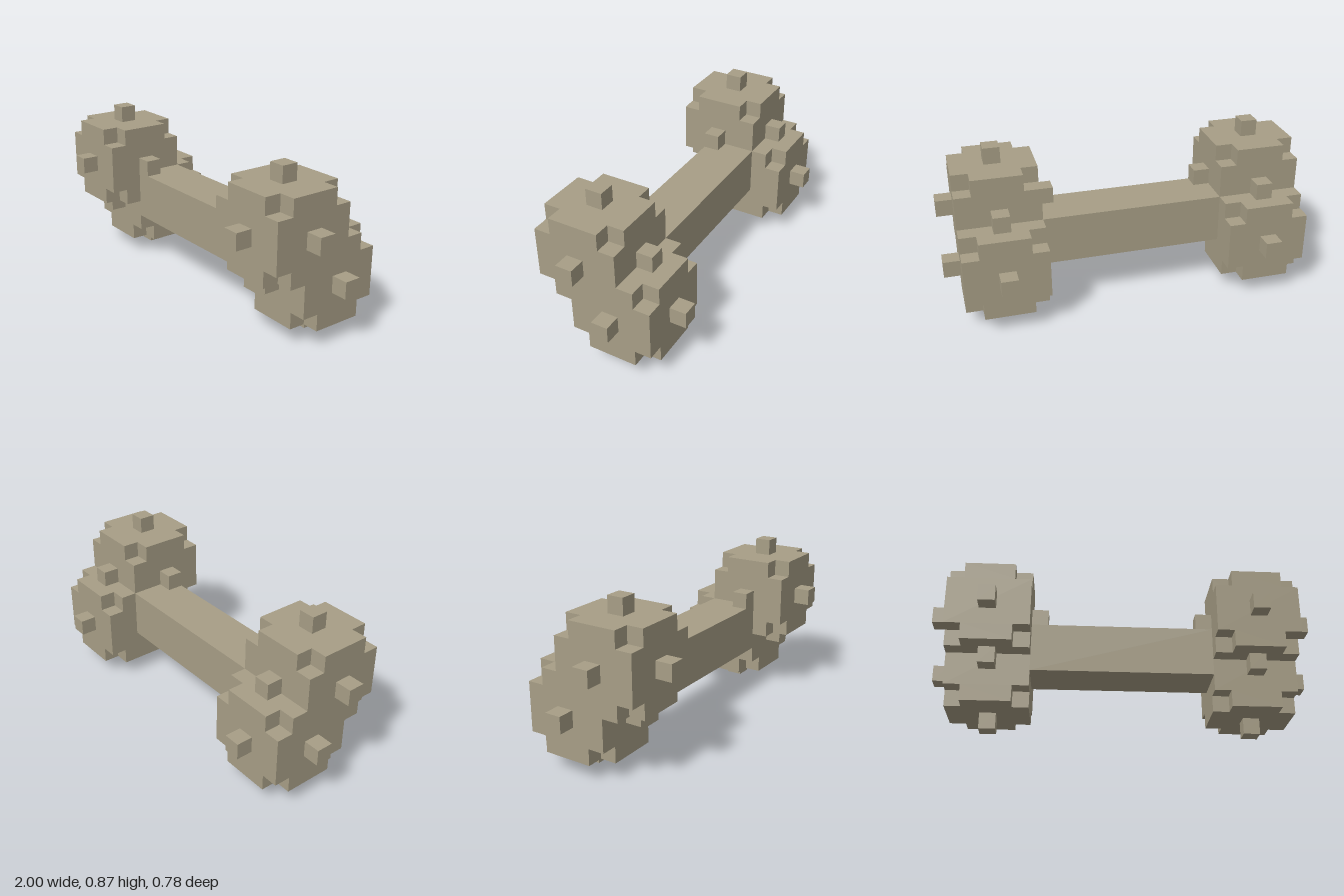
import * as THREE from 'three';

const U = 2 / 23; // one block unit
const material = new THREE.MeshStandardMaterial({ color: 0xa79e86, flatShading: true });

function addMesh(parent, name, geometry, x, y, z) {
  const mesh = new THREE.Mesh(geometry, material);
  mesh.name = name;
  mesh.position.set(x * U, y * U, z * U);
  parent.add(mesh);
}

const box = (w, h, d) => new THREE.BoxGeometry(w * U, h * U, d * U);

// One-unit-thick 5 x 5 slab with its four corner blocks missing
function notchedSlab() {
  const quarter = [[2.5, 1.5], [1.5, 1.5], [1.5, 2.5]];
  const points = [];
  for (let i = 0; i < 4; i++) {
    for (const [x, y] of quarter) {
      points.push(new THREE.Vector2(x * U, y * U).rotateAround(new THREE.Vector2(), i * Math.PI / 2));
    }
  }
  return new THREE.ExtrudeGeometry(new THREE.Shape(points), { depth: U, bevelEnabled: false })
    .translate(0, 0, -U / 2)
    .rotateX(-Math.PI / 2);
}

// Bone knob: a 5-unit cube without its corners, with studs in the given directions
function makeKnob(name, x, y, z, studs) {
  const knob = new THREE.Group();
  knob.name = name;
  knob.position.set(x * U, y * U, z * U);
  addMesh(knob, 'knobCore', box(5, 3, 5), 0, 0, 0);
  addMesh(knob, 'knobTopLayer', notchedSlab(), 0, 2, 0);
  addMesh(knob, 'knobBottomLayer', notchedSlab(), 0, -2, 0);
  for (const [dx, dy, dz] of studs) {
    addMesh(knob, 'stud', box(1, 1, 1), dx * 3, dy * 3, dz * 3);
  }
  return knob;
}

export function createModel() {
  const model = new THREE.Group();
  model.name = 'blockBone';

  // Shaft between the two ends
  addMesh(model, 'shaft', box(11, 3, 3), 0, 4.5, 0);

  // Each end: an upper knob set forward and a lower knob set back
  for (const [side, s] of [['left', 1], ['right', -1]]) {
    model.add(makeKnob(side + 'UpperKnob', 8 * s, 6.5, 1,
      [[1, 0, 0], [-1, 0, 0], [0, 1, 0], [0, 0, 1], [0, 0, -1]]));
    model.add(makeKnob(side + 'LowerKnob', 8 * s, 3.5, -1,
      [[s, 0, 0], [0, -1, 0], [0, 0, 1], [0, 0, -1]]));
  }
  return model;
}
